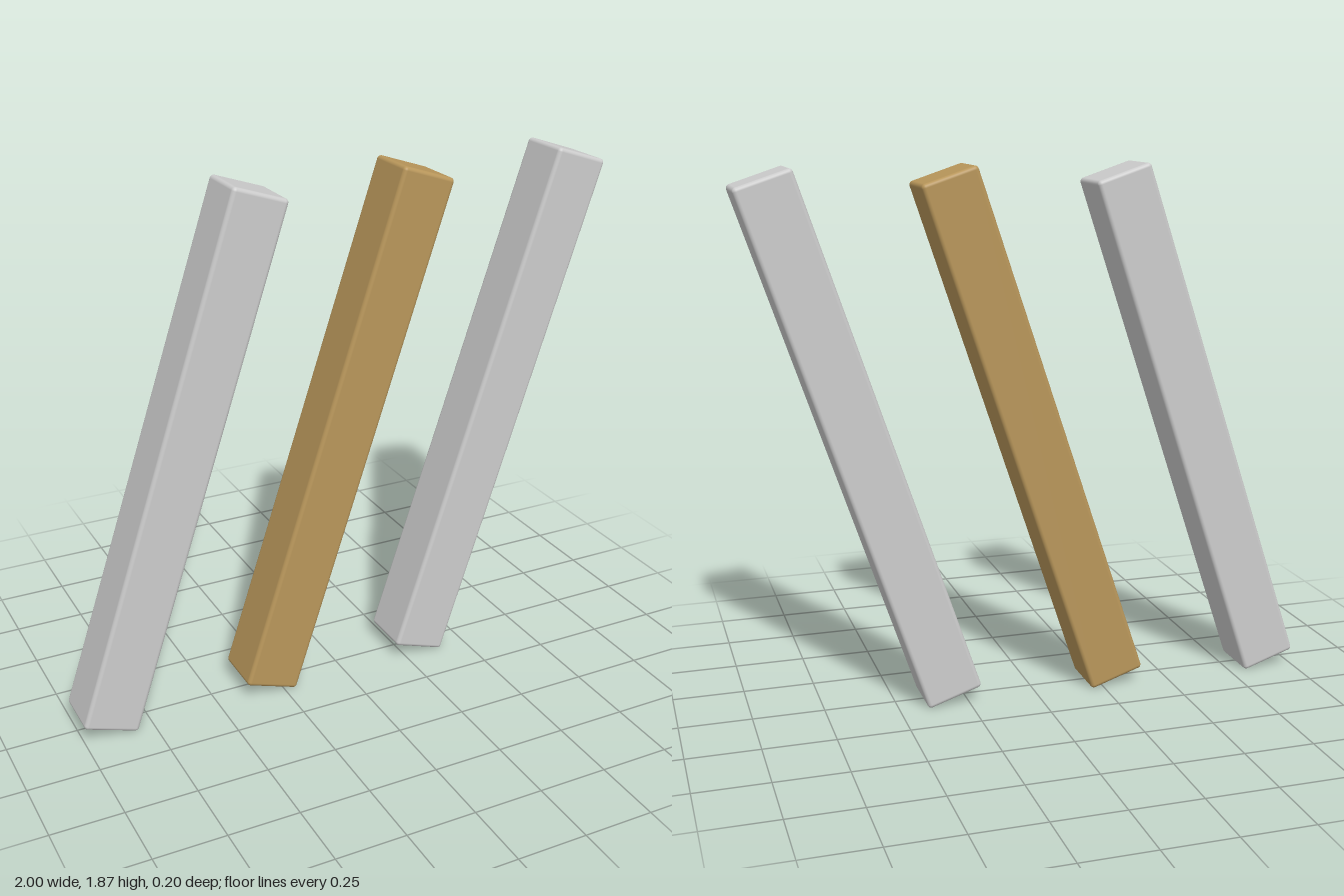
import * as THREE from 'three';
import { RoundedBoxGeometry } from 'three/addons/geometries/RoundedBoxGeometry.js';

const WIDTH = 0.202, LENGTH = 1.91, DEPTH = 0.2, RADIUS = 0.014;
const TILT = Math.atan2(1, 3);
const SPACING = 0.604;

export function createModel() {
  const model = new THREE.Group();
  model.name = 'slantedBars';

  const grey = new THREE.MeshStandardMaterial({ color: 0xcccccc });
  const gold = new THREE.MeshStandardMaterial({ color: 0xb8965a });
  const geometry = new RoundedBoxGeometry(WIDTH, LENGTH, DEPTH, 4, RADIUS);

  // Height of the tilted bar's centre so its rounded lower corner rests on y = 0
  const centreY = (LENGTH / 2 - RADIUS) * Math.cos(TILT)
    + (WIDTH / 2 - RADIUS) * Math.sin(TILT) + RADIUS;

  // Three parallel leaning bars, the middle one gold
  ['rightBar', 'middleBar', 'leftBar'].forEach((name, i) => {
    const bar = new THREE.Mesh(geometry, i === 1 ? gold : grey);
    bar.name = name;
    bar.position.set((i - 1) * SPACING, centreY, 0);
    bar.rotation.z = -TILT;
    model.add(bar);
  });

  return model;
}
